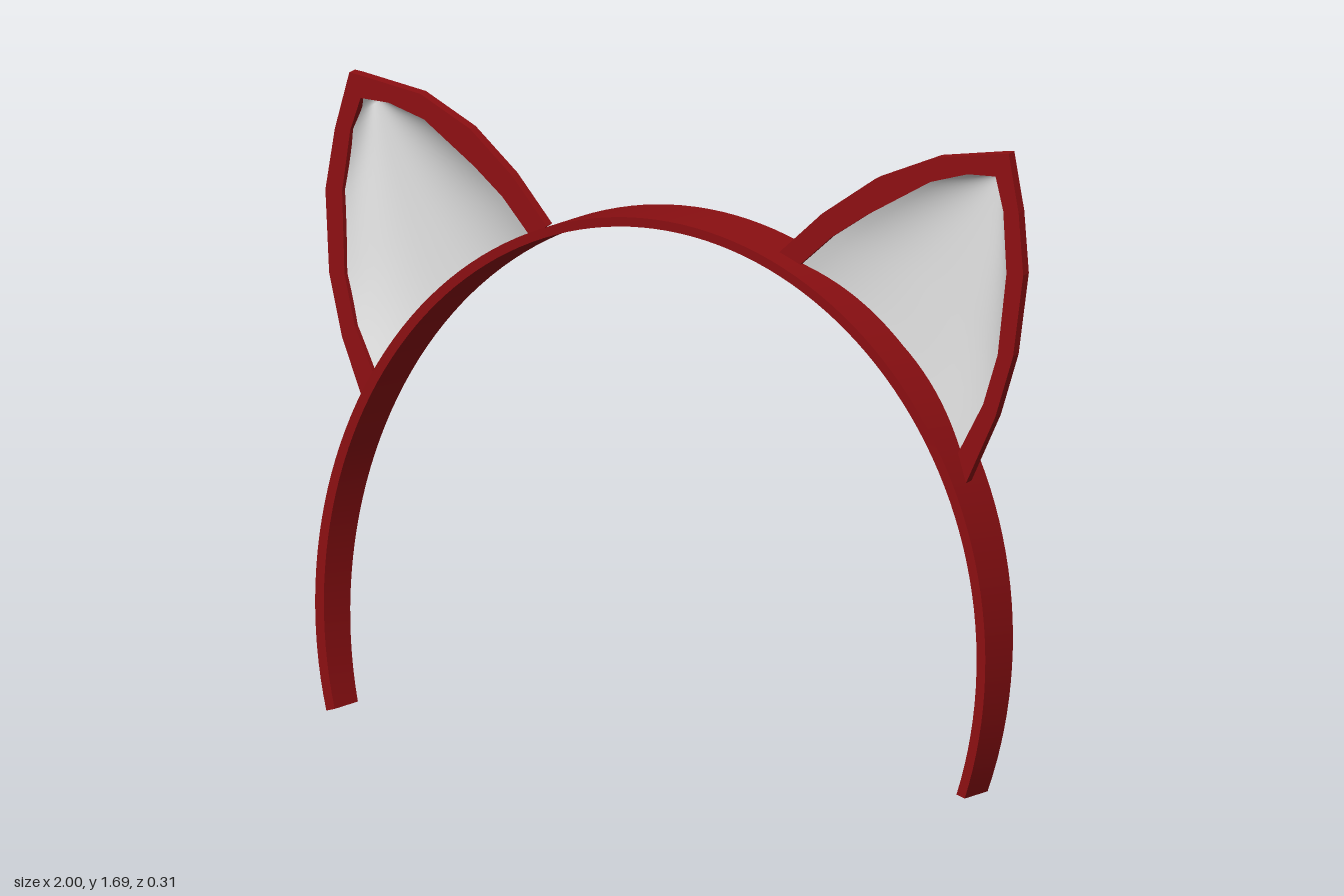
import * as THREE from 'three';
import { toCreasedNormals } from 'three/addons/utils/BufferGeometryUtils.js';
import { ParametricGeometry } from 'three/addons/geometries/ParametricGeometry.js';

const red = new THREE.MeshStandardMaterial({ color: 0x8c0f12 });
red.name = 'deep red';
const white = new THREE.MeshStandardMaterial({ color: 0xe0e0e0, side: THREE.DoubleSide });
white.name = 'soft white';

// Ear outlines for the right (-x) ear, from the lower root to the upper root
const outer = [[-.86, .82], [-.936, 1.0], [-.98, 1.163], [-1, 1.377], [-.98, 1.537], [-.945, 1.688],
  [-.92, 1.685], [-.74, 1.655], [-.594, 1.58], [-.47, 1.473], [-.365, 1.352]];
const innerSide = [[-.834, .896], [-.9, 1.03], [-.936, 1.163], [-.952, 1.377], [-.936, 1.537], [-.91, 1.625]];
const innerTop = [[-.41, 1.32], [-.495, 1.415], [-.578, 1.484], [-.727, 1.59], [-.83, 1.622], [-.91, 1.625]];

// The left ear is mirrored and reaches a little further along the band
const place = (left) => ([x, y]) =>
  new THREE.Vector2(left ? -x - 0.07 * Math.max(0, x + 0.74) / 0.37 : x, y);

// Ears lean back
const leanZ = (y) => 0.027 - (y - 0.82) * 0.0885;

// Tapered, tilted arch: a rectangular section swept along an ellipse
function bandGeometry() {
  const N = 96, t0 = -0.318, t1 = Math.PI + 0.295, pos = [], idx = [];
  for (let i = 0; i <= N; i++) {
    const t = t0 + (t1 - t0) * i / N, c = Math.cos(t), s = Math.sin(t);
    const yRef = 0.35 + 1.08 * s;
    const front = 0.08 + (1.43 - yRef) * 0.051;
    const back = -0.156 + (1.43 - yRef) * 0.123;
    for (const [thick, z] of [[0, front], [0, back], [0.025, back], [0.025, front]]) {
      pos.push((0.96 - thick) * c - 0.022 * s * s, 0.35 + (1.08 - thick) * s - (front - z) * 0.09, z);
    }
  }
  for (let i = 0; i < N; i++) {
    for (let k = 0; k < 4; k++) {
      const a = i * 4 + k, b = i * 4 + (k + 1) % 4;
      idx.push(a, b, a + 4, b, b + 4, a + 4);
    }
  }
  const e = N * 4;
  idx.push(0, 2, 1, 0, 3, 2, e, e + 1, e + 2, e, e + 2, e + 3);
  const g = new THREE.BufferGeometry();
  g.setAttribute('position', new THREE.Float32BufferAttribute(pos, 3));
  g.setIndex(idx);
  return toCreasedNormals(g, 0.5);
}

// Flat rim that is open at the band
function rimGeometry(left) {
  const inner = [...innerSide, ...innerTop.slice(0, -1).reverse()];
  const shape = new THREE.Shape([...outer, ...inner.reverse()].map(place(left)));
  const g = new THREE.ExtrudeGeometry(shape, { depth: 0.033, bevelEnabled: false });
  const p = g.attributes.position;
  for (let i = 0; i < p.count; i++) p.setZ(i, p.getZ(i) - 0.0165 + leanZ(p.getY(i)));
  g.computeVertexNormals();
  return g;
}

// Shallow cup filling the rim and bulging backwards
function cupGeometry(left) {
  const side = new THREE.SplineCurve(innerSide.map(place(left)));
  const top = new THREE.SplineCurve(innerTop.map(place(left)));
  const sign = left ? 1 : -1;
  const g = new ParametricGeometry((u, v, target) => {
    const p = side.getPoint(v).lerp(top.getPoint(v), u);
    const bow = 0.035 * Math.sin(Math.PI * u) * (1 - v) ** 2; // base follows the arch
    const depth = 0.056 * (1 - Math.abs(2 * u - 1) ** 2.6) * Math.min(1, (1 - v) * 10);
    target.set(p.x + sign * bow, p.y + bow, leanZ(p.y) - depth);
  }, 20, 30);
  g.computeVertexNormals();
  return g;
}

export function createModel() {
  const model = new THREE.Group();
  model.name = 'earHeadband';
  const add = (parent, name, geometry, material) => {
    const mesh = new THREE.Mesh(geometry, material);
    mesh.name = name;
    parent.add(mesh);
  };
  add(model, 'band', bandGeometry(), red);
  for (const left of [true, false]) {
    const ear = new THREE.Group();
    ear.name = left ? 'leftEar' : 'rightEar';
    add(ear, 'earRim', rimGeometry(left), red);
    add(ear, 'earCup', cupGeometry(left), white);
    model.add(ear);
  }
  return model;
}
